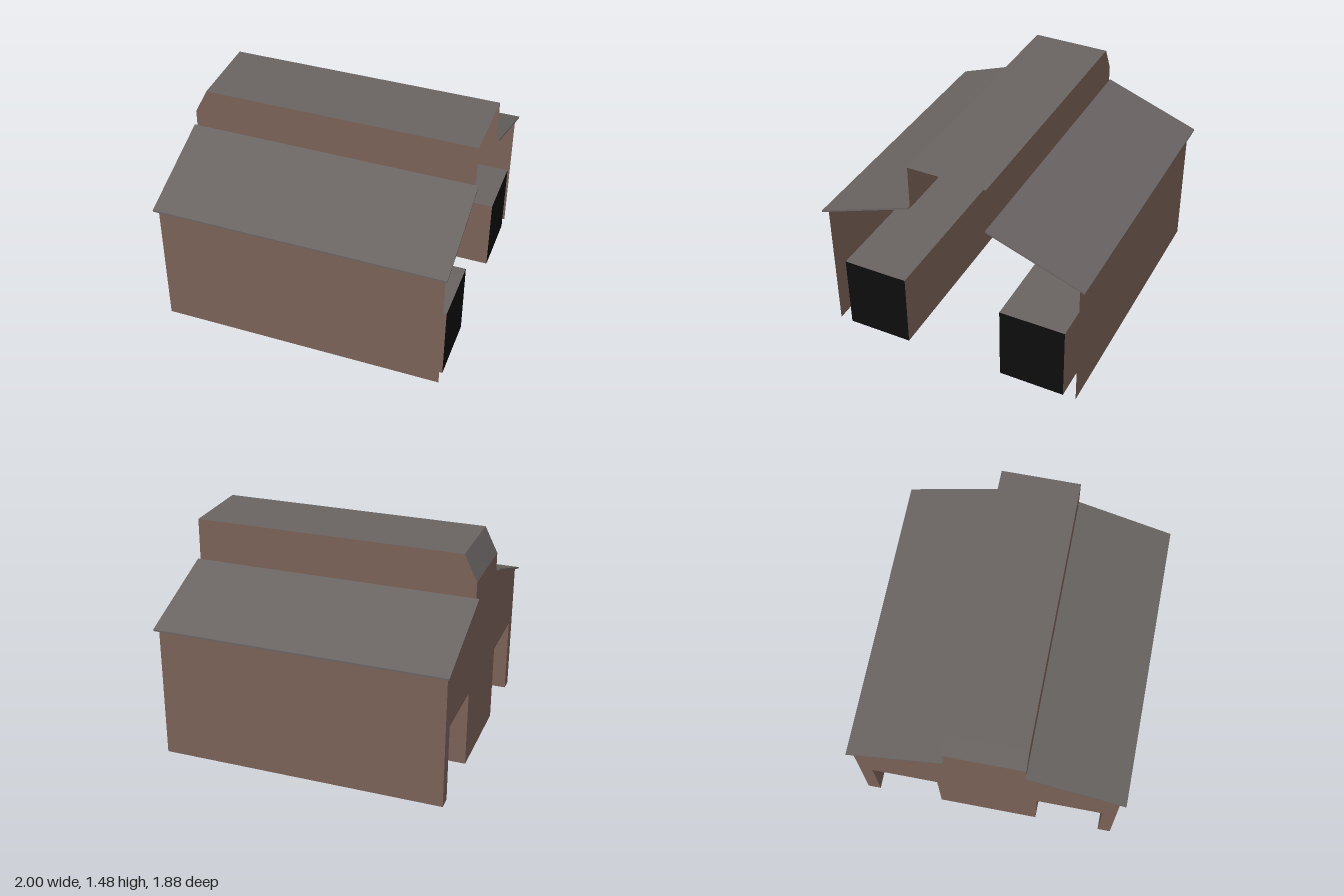
import * as THREE from 'three';

const END = 0.98;      // half length of the walls
const SIDE = 0.9;      // half width of the walls
const LANTERN = 0.27;  // half width of the raised roof section
const DOOR = [0.35, 0.81, 0.54]; // inner z, outer z, height

export function createModel() {
  const model = new THREE.Group();
  const material = (name, color, side) => {
    const m = new THREE.MeshStandardMaterial({ color, side });
    m.name = name;
    return m;
  };
  const brick = material('brick brown', 0x7a6158, THREE.DoubleSide);
  const slate = material('slate grey', 0x696462, THREE.DoubleSide);
  const black = material('door black', 0x0d0d0d, THREE.DoubleSide);

  const add = (name, geometry, mat, parent = model) => {
    const mesh = new THREE.Mesh(geometry, mat);
    mesh.name = name;
    parent.add(mesh);
    return mesh;
  };
  const shape = (points) => new THREE.Shape(points.map(([x, y]) => new THREE.Vector2(x, y)));
  const flat = (points) => new THREE.ShapeGeometry(shape(points));
  // Horizontal sheet facing up
  const sheet = (x0, x1, z0, z1, y) => new THREE.PlaneGeometry(x1 - x0, z1 - z0)
    .rotateX(-Math.PI / 2).translate((x0 + x1) / 2, y, (z0 + z1) / 2);

  // Closed gable at -x with two doorways; the +x end stays open
  const [d0, d1, dh] = DOOR;
  const half = [[d0, 0], [d0, dh], [d1, dh], [d1, 0], [SIDE, 0], [SIDE, 0.94],
    [LANTERN, 1.175], [LANTERN, 1.3]];
  const gable = [...half, ...half.map(([z, y]) => [-z, y]).reverse()];
  add('gableWall', flat(gable).rotateY(-Math.PI / 2).translate(-END, 0, 0), brick);

  for (const s of [1, -1]) {
    const label = s > 0 ? 'front' : 'back';
    const turn = s > 0 ? 0 : Math.PI;

    // Long side wall
    add(label + 'Wall', new THREE.PlaneGeometry(2 * END, 0.94)
      .rotateY(turn).translate(0, 0.47, s * SIDE), brick);

    // Raised section side, cut back at the -x end
    const lantern = flat([[-END, 1.17], [END, 1.17], [END, 1.48], [-0.89, 1.48], [-END, 1.3]]);
    add(label + 'LanternWall', lantern.translate(0, 0, s * LANTERN), brick);

    // Thin sloping roof
    const slab = shape([[s * LANTERN, 1.175], [s * 0.94, 0.93], [s * 0.94, 0.942], [s * LANTERN, 1.187]]);
    add(label + 'Roof', new THREE.ExtrudeGeometry(slab, { depth: 2, bevelEnabled: false })
      .translate(0, 0, -1).rotateY(-Math.PI / 2), slate);

    // Bay behind each doorway, ending in a black panel
    const bay = new THREE.Group();
    bay.name = label + 'Bay';
    model.add(bay);
    for (const z of [d0, d1]) {
      add('bayWall', new THREE.PlaneGeometry(2 * END, dh)
        .rotateY(z === d1 ? turn : turn + Math.PI).translate(0, dh / 2, s * z), brick, bay);
    }
    const zs = [s * d0, s * d1].sort((a, b) => a - b);
    add('bayTop', sheet(-END, END, zs[0], zs[1], dh), slate, bay);
    add('bayEnd', new THREE.PlaneGeometry(d1 - d0, dh)
      .rotateY(Math.PI / 2).translate(END, dh / 2, s * (d0 + d1) / 2), black, bay);
  }

  // Flat top of the raised section and its sloping end
  add('lanternRoof', sheet(-0.89, END, -LANTERN, LANTERN, 1.48), slate);
  const slope = new THREE.PlaneGeometry(2 * LANTERN, 0.18).rotateY(-Math.PI / 2);
  const p = slope.attributes.position;
  for (let i = 0; i < p.count; i++) {
    const top = p.getY(i) > 0;
    p.setXYZ(i, top ? -0.89 : -END, top ? 1.48 : 1.3, p.getZ(i));
  }
  slope.computeVertexNormals();
  add('lanternHip', slope, slate);

  return model;
}
